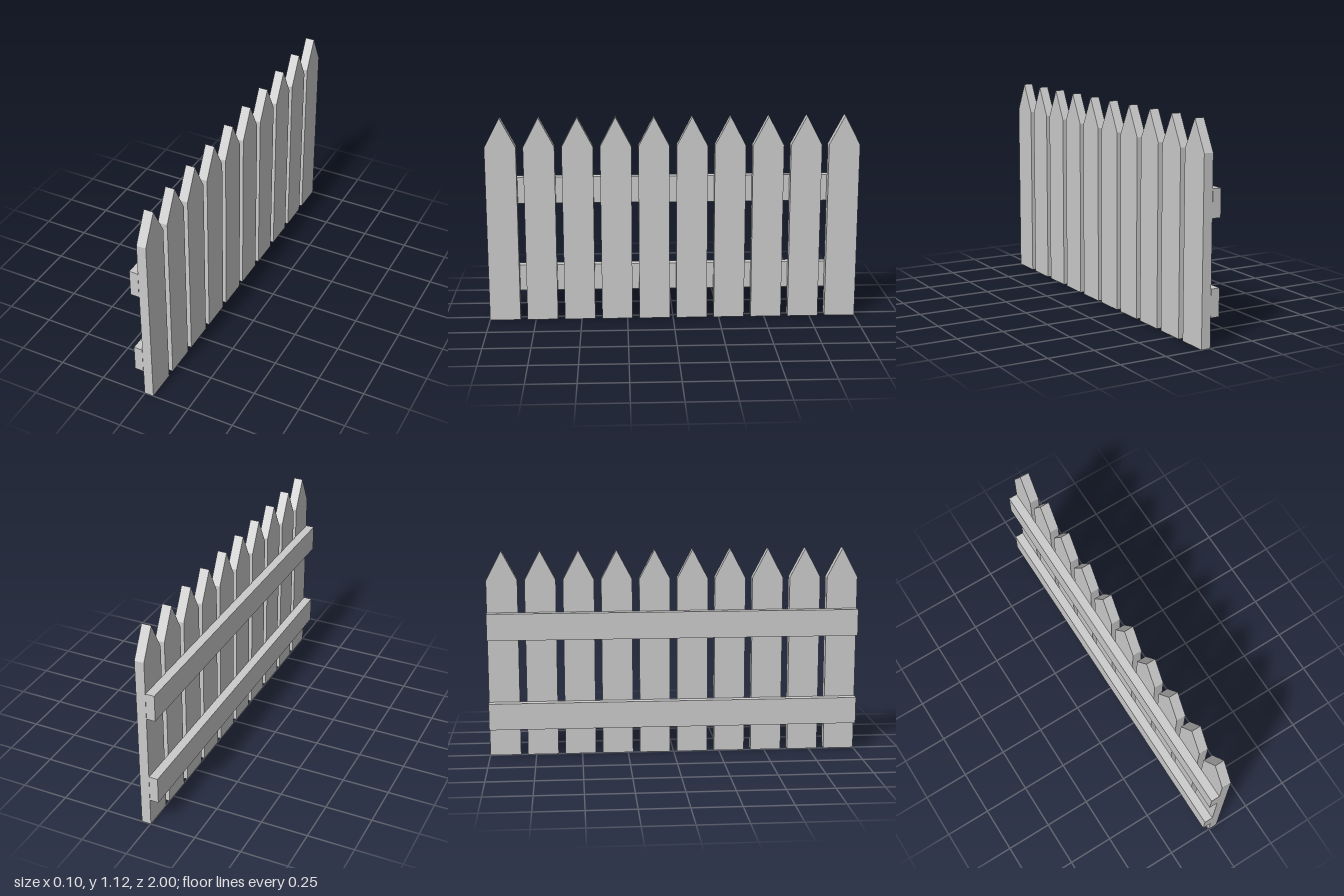
import * as THREE from 'three';

export function createModel() {
  const group = new THREE.Group();
  const material = new THREE.MeshStandardMaterial({ color: 0xcccccc, flatShading: true });

  // Pointed picket profile, extruded through the board thickness along +x
  const count = 10, width = 0.166, shoulder = 0.957, peak = 1.115;
  const outline = new THREE.Shape([
    new THREE.Vector2(-width / 2, 0),
    new THREE.Vector2(width / 2, 0),
    new THREE.Vector2(width / 2, shoulder),
    new THREE.Vector2(0, peak),
    new THREE.Vector2(-width / 2, shoulder),
  ]);
  const picketGeometry = new THREE.ExtrudeGeometry(outline, { depth: 0.051, bevelEnabled: false });
  picketGeometry.rotateY(Math.PI / 2).translate(-0.002, 0, 0);

  // Row of evenly spaced pickets
  const pitch = (2 - width) / (count - 1);
  for (let i = 0; i < count; i++) {
    const picket = new THREE.Mesh(picketGeometry, material);
    picket.name = `picket${i + 1}`;
    picket.position.z = 1 - width / 2 - i * pitch;
    group.add(picket);
  }

  // Two horizontal rails behind the pickets
  const railGeometry = new THREE.BoxGeometry(0.047, 0.144, 2);
  for (const [name, y] of [['lowerRail', 0.224], ['upperRail', 0.713]]) {
    const rail = new THREE.Mesh(railGeometry, material);
    rail.name = name;
    rail.position.set(-0.0265, y, 0);
    group.add(rail);
  }
  return group;
}
